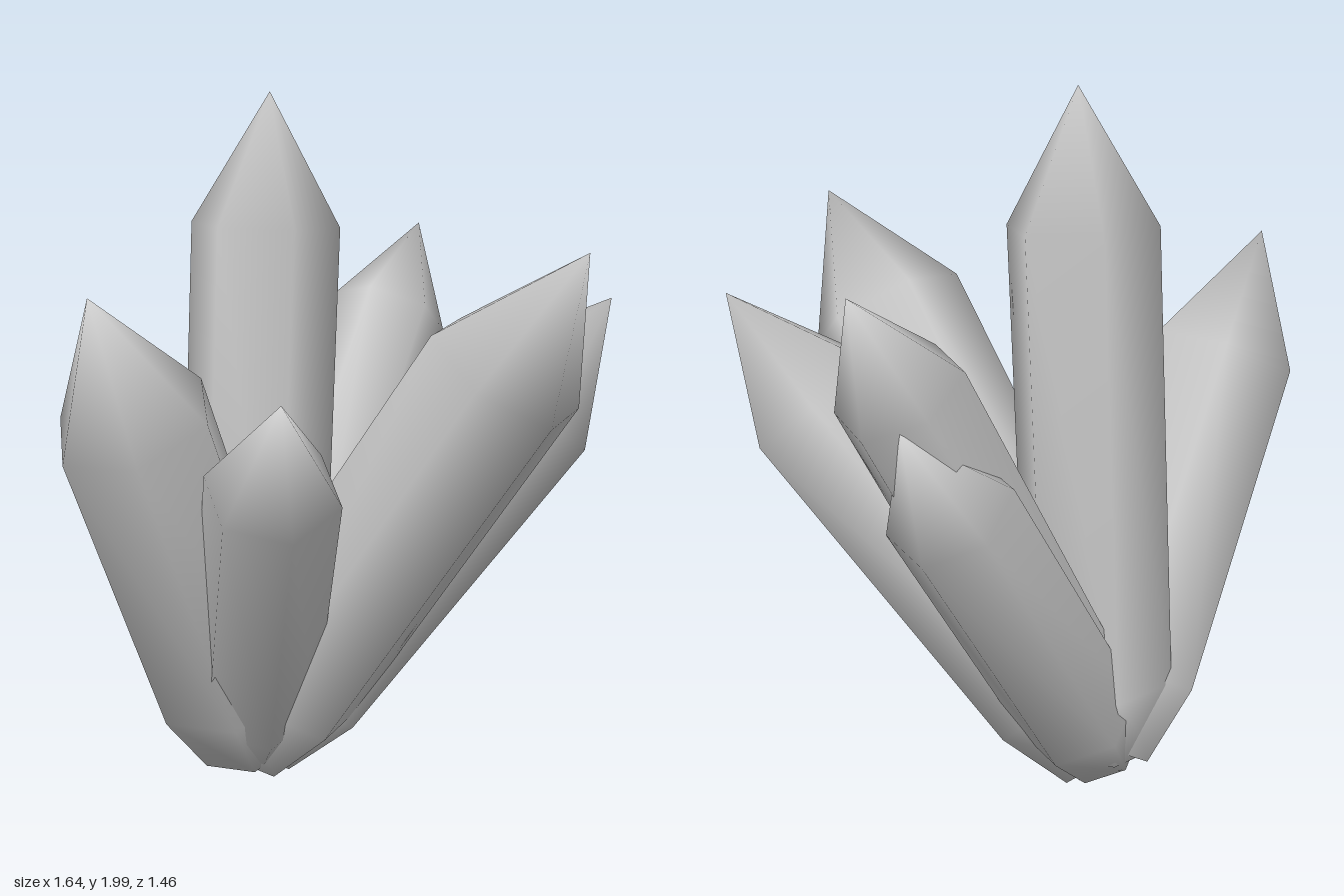
import * as THREE from 'three';
import { mergeVertices } from 'three/addons/utils/BufferGeometryUtils.js';

// All crystals grow out of one common root point
const ROOT = new THREE.Vector3(-0.11, 0.1, -0.22);

// tip position, radius, and the direction of one corner of the hexagon
const CRYSTALS = [
  { name: 'centreCrystal', tip: [-0.03, 2.0, -0.22], r: 0.215, corner: [0.03, 0, -0.21] },
  { name: 'frontLeftCrystal', tip: [0.385, 1.61, 0.725], r: 0.235, corner: [0.2, -0.1, 0.07] },
  { name: 'leftCrystal', tip: [0.82, 1.41, 0.28], r: 0.222, corner: [-0.1, -0.08, 0.2] },
  { name: 'rightCrystal', tip: [-0.78, 1.505, 0.14], r: 0.23, corner: [-0.21, -0.1, 0] },
  { name: 'frontRightCrystal', tip: [-0.45, 1.26, 0.56], r: 0.187, corner: [-0.16, -0.09, 0.02] },
  { name: 'backLeftCrystal', tip: [0.74, 1.555, -0.605], r: 0.18, corner: [0.03, 0.06, 0.17] },
  { name: 'lowBackCrystal', tip: [0.63, 1.22, -0.67], r: 0.178, corner: [-0.07, -0.09, -0.15] },
];

// Six-sided column: narrowed foot, straight shaft, pointed tip, smooth normals
function crystalGeometry(length, r) {
  const profile = [
    [0, 0],
    [r * 0.7, 0],
    [r, r],
    [r, length - r * 1.75],
    [0, length],
  ].map(([x, y]) => new THREE.Vector2(x, y));
  const lathe = new THREE.LatheGeometry(profile, 6);
  lathe.deleteAttribute('normal');
  lathe.deleteAttribute('uv');
  const geometry = mergeVertices(lathe, 1e-4);
  geometry.computeVertexNormals();
  return geometry;
}

export function createModel() {
  const group = new THREE.Group();
  group.name = 'crystalCluster';
  const material = new THREE.MeshStandardMaterial({ color: 0xcccccc });

  for (const { name, tip, r, corner } of CRYSTALS) {
    const axis = new THREE.Vector3(...tip).sub(ROOT);
    const length = axis.length();
    axis.normalize();

    // Lean along the axis and roll so one edge faces the corner direction
    const edge = new THREE.Vector3(...corner).projectOnPlane(axis).normalize();
    const side = new THREE.Vector3().crossVectors(axis, edge);
    const basis = new THREE.Matrix4().makeBasis(side, axis, edge);

    const mesh = new THREE.Mesh(crystalGeometry(length, r), material);
    mesh.name = name;
    mesh.quaternion.setFromRotationMatrix(basis);
    mesh.position.copy(ROOT);
    group.add(mesh);
  }
  return group;
}
